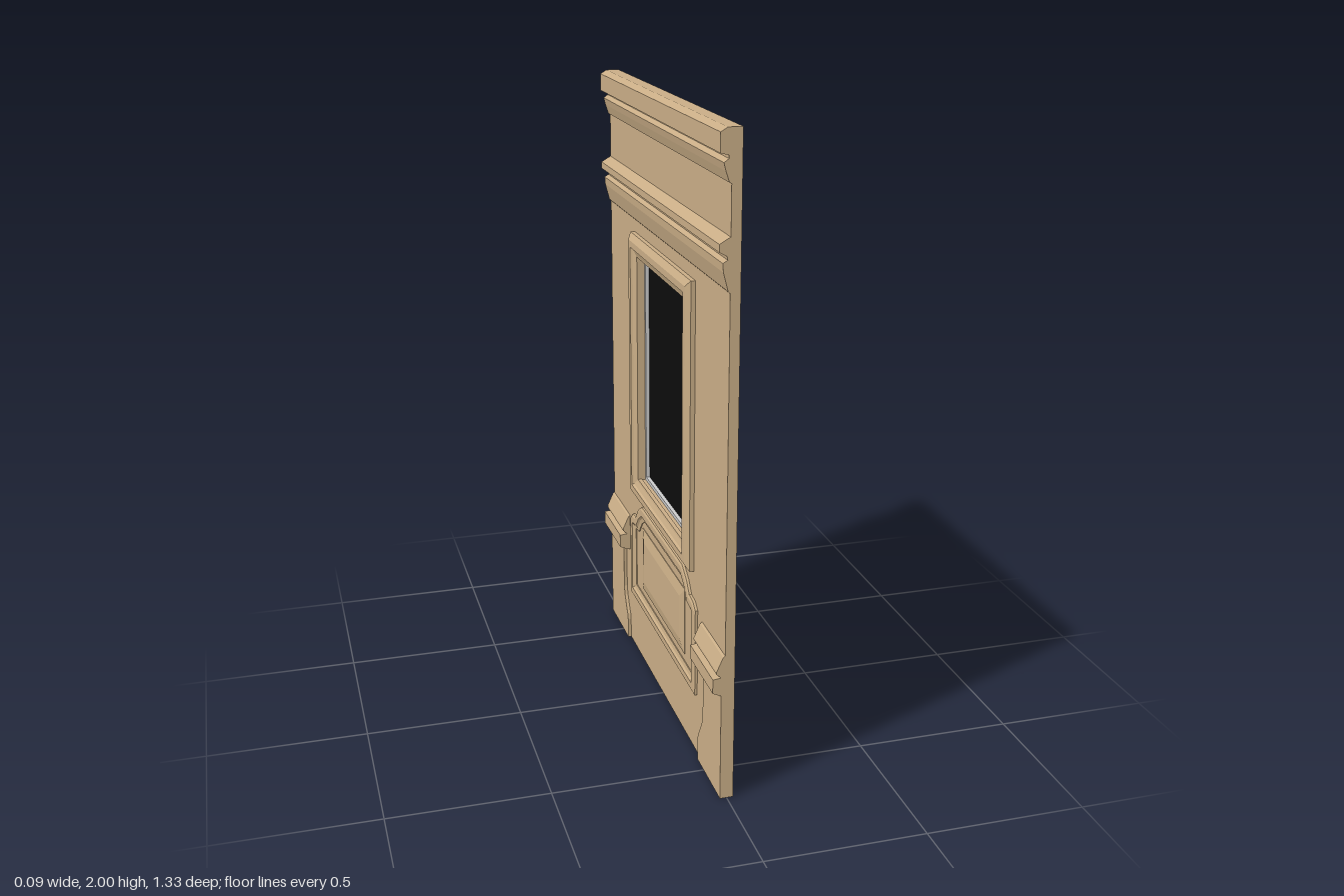
import * as THREE from 'three';

const wood = new THREE.MeshStandardMaterial({ color: 0xc9ad86, flatShading: true });
const grey = new THREE.MeshStandardMaterial({ color: 0xcccccc, flatShading: true });
const dark = new THREE.MeshStandardMaterial({ color: 0x0c0c0c });

const HALF = 0.665; // half width of the wall along z
const v2 = (pts) => pts.map(([a, b]) => new THREE.Vector2(a, b));
const rect = (w, y0, y1) => [[-w, y0], [w, y0], [w, y1], [-w, y1]];

function add(group, name, geometry, material = wood) {
  const mesh = new THREE.Mesh(geometry, material);
  mesh.name = name;
  group.add(mesh);
  return mesh;
}

// Outline in (z, y), given thickness between two x planes
function slab(outline, xFront, xBack, hole) {
  const shape = new THREE.Shape(v2(outline));
  if (hole) shape.holes.push(new THREE.Path(v2(hole)));
  const geo = new THREE.ExtrudeGeometry(shape, { depth: xBack - xFront, bevelEnabled: false });
  return geo.rotateY(-Math.PI / 2).translate(xBack, 0, 0);
}

// Profile in (x, y), run along z from z0 to z1
function run(profile, z0, z1) {
  const shape = new THREE.Shape(v2(profile));
  const geo = new THREE.ExtrudeGeometry(shape, { depth: z1 - z0, bevelEnabled: false });
  return geo.translate(0, 0, z0);
}

// Mitred inset of a counter-clockwise outline
function inset(outline, d) {
  const p = v2(outline), n = p.length;
  const normal = (i) => {
    const e = p[(i + 1) % n].clone().sub(p[i]).normalize();
    return new THREE.Vector2(-e.y, e.x);
  };
  return p.map((pt, i) => {
    const a = normal((i + n - 1) % n), b = normal(i);
    return pt.clone().addScaledVector(a.clone().add(b), d / (1 + a.dot(b)));
  });
}

// Moulding that follows an outline; profile is a list of [inset, x]
function moulding(outline, profile, capped = false) {
  const rings = profile.map(([d, x]) => inset(outline, d).map((p) => [x, p.y, p.x]));
  const n = outline.length, pos = [];
  for (let r = 0; r < rings.length - 1; r++) {
    for (let i = 0; i < n; i++) {
      const j = (i + 1) % n;
      const a = rings[r][i], b = rings[r][j], c = rings[r + 1][j], d = rings[r + 1][i];
      pos.push(...a, ...b, ...c, ...a, ...c, ...d);
    }
  }
  if (capped) {
    const last = rings[rings.length - 1];
    for (let i = 1; i < n - 1; i++) pos.push(...last[0], ...last[i], ...last[i + 1]);
  }
  const geo = new THREE.BufferGeometry();
  geo.setAttribute('position', new THREE.Float32BufferAttribute(pos, 3));
  geo.computeVertexNormals();
  return geo;
}

export function createModel() {
  const model = new THREE.Group();
  model.name = 'wallPanel';

  // Wall with its window opening, and the box that closes the opening behind
  const opening = rect(0.275, 0.67, 1.445);
  add(model, 'wall', slab(rect(HALF, 0, 2), -0.01, 0.02, opening));
  add(model, 'windowBox', slab(rect(0.345, 0.602, 1.515), 0.02, 0.045));

  // Window: moulded frame, grey sash and dark pane
  add(model, 'windowFrame', moulding(rect(0.345, 0.602, 1.515), [
    [0, -0.01], [0, -0.024], [0.02, -0.037], [0.042, -0.037],
    [0.047, -0.03], [0.062, -0.024], [0.07, -0.022], [0.07, -0.008],
  ]));
  add(model, 'windowSash', moulding(opening, [[0, 0.004], [0.012, 0.004], [0.012, 0.018]]), grey);
  add(model, 'windowPane', slab(opening, 0.016, 0.0205), dark);

  // Top cornice and the lower string course
  add(model, 'cornice', run([
    [-0.01, 2], [-0.022, 2], [-0.042, 1.988], [-0.042, 1.933], [-0.018, 1.927],
    [-0.018, 1.918], [-0.032, 1.908], [-0.026, 1.885], [-0.016, 1.855], [-0.01, 1.852],
  ], -HALF, HALF));
  add(model, 'stringCourse', run([
    [-0.01, 1.71], [-0.02, 1.705], [-0.042, 1.692], [-0.042, 1.67], [-0.02, 1.658],
    [-0.018, 1.648], [-0.032, 1.64], [-0.03, 1.615], [-0.016, 1.562], [-0.01, 1.556],
  ], -HALF, HALF));

  // Corner pedestals with flared feet and moulded caps
  const foot = [
    [HALF, 0], [HALF, 0.36], [0.485, 0.36], [0.485, 0.18], [0.476, 0.15],
    [0.452, 0.11], [0.438, 0.09], [0.432, 0.07], [0.432, 0],
  ];
  const cap = [
    [-0.01, 0.475], [-0.016, 0.47], [-0.036, 0.425], [-0.036, 0.418], [-0.022, 0.405],
    [-0.047, 0.402], [-0.047, 0.357], [-0.02, 0.345], [-0.01, 0.345],
  ];
  for (const side of [1, -1]) {
    const pedestal = new THREE.Group();
    pedestal.name = side > 0 ? 'frontPedestal' : 'backPedestal';
    add(pedestal, 'pedestalBody', slab(foot.map(([z, y]) => [z * side, y]), -0.021, -0.01));
    add(pedestal, 'pedestalCap', run(cap, side > 0 ? 0.435 : -HALF, side > 0 ? HALF : -0.435));
    model.add(pedestal);
  }

  // Shouldered panel below the window, with a raised field
  const half = [[0.39, 0.2], [0.39, 0.49], [0.365, 0.51], [0.325, 0.515], [0.295, 0.55], [0.245, 0.582]];
  const shouldered = [...half, ...half.map(([z, y]) => [-z, y]).reverse()];
  add(model, 'lowerPanelMoulding', moulding(shouldered, [
    [0, -0.01], [0, -0.018], [0.008, -0.022], [0.03, -0.022], [0.036, -0.016], [0.05, -0.013], [0.05, -0.01],
  ]));
  add(model, 'lowerPanelField', moulding(rect(0.255, 0.275, 0.5), [
    [0, -0.01], [0, -0.012], [0.038, -0.019],
  ], true));

  return model;
}
